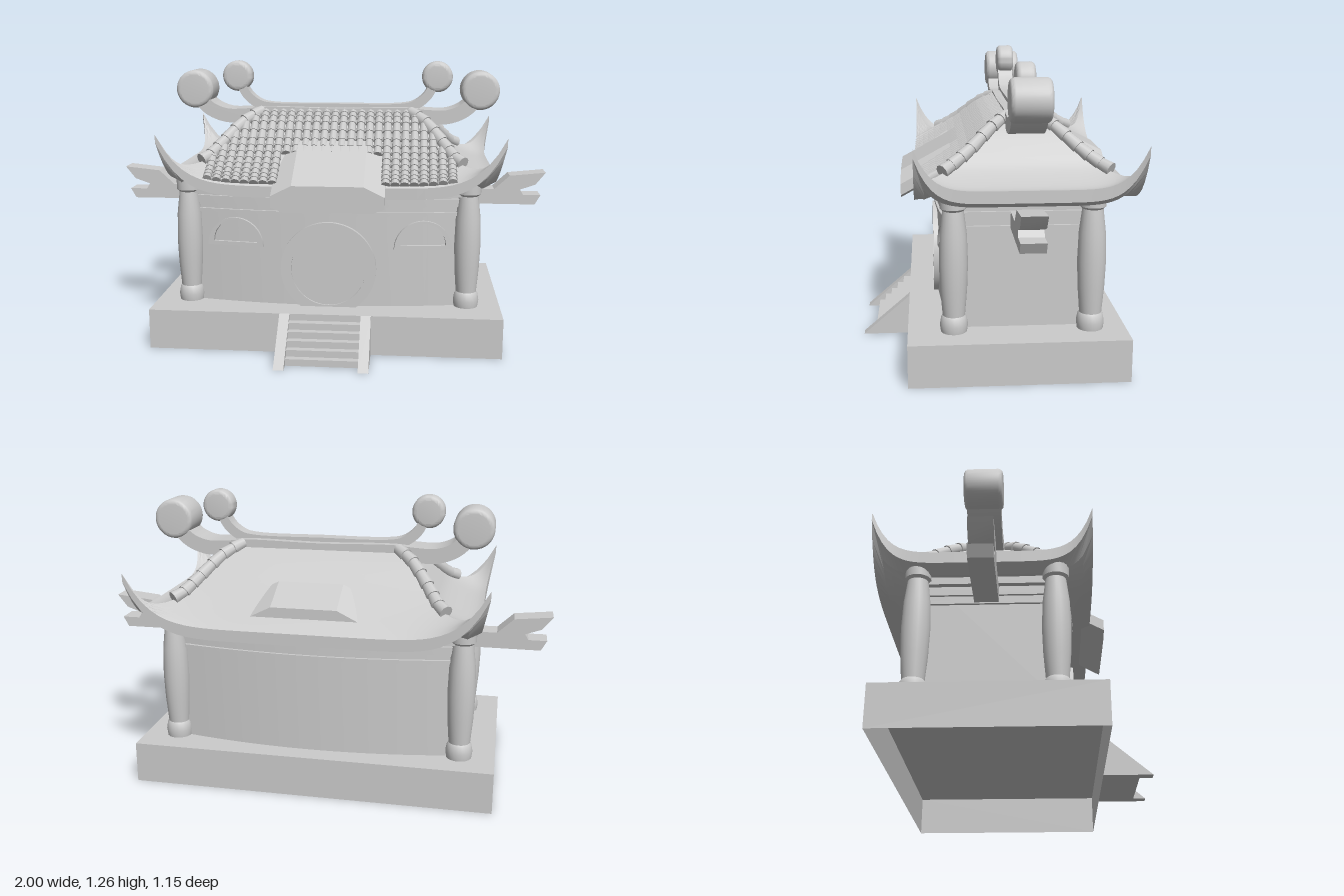
import * as THREE from 'three';
import { mergeGeometries, toCreasedNormals } from 'three/addons/utils/BufferGeometryUtils.js';

const mat = new THREE.MeshStandardMaterial({ color: 0xcccccc });
const matDouble = new THREE.MeshStandardMaterial({ color: 0xcccccc, side: THREE.DoubleSide });
const V = (x, y, z) => new THREE.Vector3(x, y, z);
const CX = 0.02, CZ = -0.123; // roof centre

function add(parent, name, geo, x = 0, y = 0, z = 0, material = mat) {
  const m = new THREE.Mesh(geo, material);
  m.name = name;
  m.position.set(x, y, z);
  parent.add(m);
  return m;
}
const poly = pts => new THREE.Shape(pts.map(p => new THREE.Vector2(p[0], p[1])));
const extrude = (shape, depth, opts = {}) => toCreasedNormals(
  new THREE.ExtrudeGeometry(shape, { depth, bevelEnabled: false, curveSegments: 24, ...opts }), 0.6);

// Roof rings from ridge to eave: x = half width, y = height, z = half depth
const roofProfile = new THREE.CatmullRomCurve3([
  V(0.34, 1.03, 0.05), V(0.42, 0.985, 0.13), V(0.50, 0.90, 0.23),
  V(0.56, 0.835, 0.32), V(0.66, 0.785, 0.40), V(0.757, 0.755, 0.453)]);
const SIDES = 4;

// Point on roof side k, at s (-1..1 along the side) and t (0 ridge .. 1 eave)
function roofPoint(k, s, t, drop = 0) {
  const p = roofProfile.getPoint(t);
  const corner = Math.abs(s) ** 7, edge = t ** 7;
  const isEnd = k % 2 === 1;
  let out = isEnd ? p.x : p.z, along = (isEnd ? p.z : p.x) * s;
  if (isEnd) out -= 0.035 * edge * (1 - corner);
  const y = p.y + edge * (0.21 * corner + (isEnd ? 0.035 : -0.01) * (1 - corner)) - drop;
  return V(along, y, out).applyAxisAngle(V(0, 1, 0), k * Math.PI / 2).add(V(CX, 0, CZ));
}

function roofSide(k) {
  const rows = [], nS = 40, nT = 20, pos = [], idx = [];
  for (let j = 0; j <= nT; j++) rows.push([j / nT, 0]);
  rows.push([1, 0.05], [0.84, 0.075], [0.6, 0.11]); // fascia and soffit
  for (const [t, drop] of rows)
    for (let i = 0; i <= nS; i++) {
      const s = i / nS * 2 - 1;
      pos.push(...roofPoint(k, s, t, drop * (1 - 0.3 * Math.abs(s) ** 7)).toArray());
    }
  for (let j = 0; j < rows.length - 1; j++)
    for (let i = 0; i < nS; i++) {
      const a = j * (nS + 1) + i, b = a + nS + 1;
      idx.push(a, b, a + 1, a + 1, b, b + 1);
    }
  const g = new THREE.BufferGeometry();
  g.setAttribute('position', new THREE.Float32BufferAttribute(pos, 3));
  g.setIndex(idx);
  return toCreasedNormals(g, 0.5);
}

// Overlapping tapered tiles that follow a line of points downhill
function tileChain(pts, r, sides) {
  const out = [];
  for (let i = 0; i < pts.length - 1; i++) {
    const up = pts[i].clone().sub(pts[i + 1]), len = up.length();
    const g = new THREE.CylinderGeometry(r * 0.82, r, len * 1.08, sides);
    g.applyQuaternion(new THREE.Quaternion().setFromUnitVectors(V(0, 1, 0), up.normalize()));
    const c = pts[i].clone().add(pts[i + 1]).multiplyScalar(0.5);
    out.push(g.translate(c.x, c.y, c.z));
  }
  return out;
}

// Ridge bar with a scroll at each end
function ridge(parent, name, half, thick, width, scroll) {
  const pts = [...half.slice(1).reverse().map(p => V(-p[0], p[1], 0)), ...half.map(p => V(p[0], p[1], 0))];
  const curve = new THREE.CatmullRomCurve3(pts, false, 'centripetal');
  const upper = [], lower = [];
  for (let i = 0; i <= 60; i++) {
    const p = curve.getPoint(i / 60), t = curve.getTangent(i / 60), h = thick / 2;
    upper.push([p.x - t.y * h, p.y + t.x * h]);
    lower.unshift([p.x + t.y * h, p.y - t.x * h]);
  }
  add(parent, name, extrude(poly([...upper, ...lower]), width), CX, 0, CZ - width / 2);
  const b = 0.02, circle = new THREE.Shape().absarc(0, 0, scroll.r - b, 0, Math.PI * 2);
  const disc = extrude(circle, scroll.w - 2 * b, { bevelEnabled: true, bevelSize: b, bevelThickness: b, bevelSegments: 4 });
  for (const s of [-1, 1])
    add(parent, name + 'Scroll', disc, CX + s * scroll.x, scroll.y, CZ - scroll.w / 2 + b);
}

// Slab with bowed front and back
function bowed(e, y0, y1) {
  const x = 0.6 + e, z = 0.28 + e, c = z + 0.12;
  const s = new THREE.Shape().moveTo(-x, -z);
  s.quadraticCurveTo(0, -c, x, -z).lineTo(x, z).quadraticCurveTo(0, c, -x, z);
  return extrude(s, y1 - y0).rotateX(-Math.PI / 2).translate(0, y0, -0.105);
}

// Low canopy with sloped shoulders, sheared down the roof slope
function canopy(w, depth, slope, drop) {
  const g = extrude(poly([[-w, -drop], [-w + 0.05, -0.115], [w - 0.05, -0.115], [w, -drop],
    [w, -0.045], [w - 0.09, 0], [0.09 - w, 0], [-w, -0.045]]), depth);
  const p = g.attributes.position;
  for (let i = 0; i < p.count; i++) p.setY(i, p.getY(i) - slope * p.getZ(i));
  return toCreasedNormals(g, 0.4);
}

export function createModel() {
  const model = new THREE.Group();
  model.name = 'pavilion';

  // Plinth, hollow below
  const plinth = new THREE.BoxGeometry(1.57, 0.18, 0.9);
  const idx = Array.from(plinth.index.array);
  idx.splice(18, 6);
  plinth.setIndex(idx);
  add(model, 'plinth', plinth, 0, 0.09, -0.085, matDouble);

  // Steps
  for (let i = 0; i < 5; i++) {
    const z1 = 0.40 + i * 0.03, h = 0.15 - i * 0.03;
    add(model, 'step', new THREE.BoxGeometry(0.32, 0.03, z1 - 0.365), 0.007, h - 0.015, (z1 + 0.365) / 2);
  }
  const stringer = extrude(poly([[-0.365, 0], [-0.365, 0.18], [-0.575, 0]]), 0.045).rotateY(Math.PI / 2);
  for (const x of [-0.195, 0.165]) add(model, 'stepSide', stringer, x, 0, 0);

  // Walls and bands
  add(model, 'walls', bowed(0, 0.18, 0.76));
  add(model, 'lowerBand', bowed(0.012, 0.6, 0.615));
  add(model, 'middleBand', bowed(0.012, 0.64, 0.675));
  add(model, 'upperBand', bowed(0.025, 0.685, 0.73));

  // Columns
  const column = new THREE.LatheGeometry([[0, 0.18], [0.054, 0.18], [0.058, 0.21], [0.052, 0.242], [0.046, 0.25],
    [0.055, 0.36], [0.059, 0.47], [0.055, 0.59], [0.043, 0.69], [0.054, 0.7], [0.055, 0.75], [0, 0.76]]
    .map(p => new THREE.Vector2(...p)), 20);
  const columnGeo = toCreasedNormals(column, 0.6);
  for (const x of [-0.632, 0.632]) for (const z of [0.176, -0.387]) add(model, 'column', columnGeo, x, 0, z);

  // Forked beams at both ends
  const beam = [[0.58, 0.605], [0.955, 0.605], [0.98, 0.65], [0.9, 0.65], [0.885, 0.675], [0.955, 0.7],
    [1, 0.757], [0.835, 0.74], [0.765, 0.675], [0.58, 0.675]];
  add(model, 'leftBeam', extrude(poly(beam), 0.1), 0, 0, -0.157);
  add(model, 'rightBeam', extrude(poly(beam.map(p => [-p[0], p[1]])), 0.1), 0, 0, -0.157);

  // Round door
  const a = Math.asin(0.175 / 0.215);
  const frame = new THREE.Shape().absarc(0, 0, 0.215, -a, Math.PI + a);
  frame.closePath();
  frame.holes.push(new THREE.Path().absarc(0, 0, 0.168, 0, Math.PI * 2, true));
  add(model, 'doorFrame', extrude(frame, 0.063), 0.012, 0.355, 0.19);
  const leaf = new THREE.Shape().absarc(0, 0, 0.17, -Math.PI / 2 + 0.012, Math.PI / 2 - 0.012);
  const leafGeo = extrude(leaf, 0.05);
  add(model, 'doorLeaf', leafGeo, 0.012, 0.355, 0.195);
  add(model, 'doorLeaf', leafGeo, 0.012, 0.355, 0.245).rotation.y = Math.PI;

  // Half-round windows, turned to the curve of the wall
  const win = new THREE.Shape().absarc(0, 0, 0.13, 0, Math.PI);
  win.closePath();
  const hole = new THREE.Path().absarc(0, 0.018, 0.102, 0, Math.PI);
  hole.closePath();
  win.holes.push(hole);
  const winGeo = extrude(win, 0.035);
  for (const s of [-1, 1]) add(model, 'windowFrame', winGeo, 0.01 + s * 0.42, 0.447, 0.184).rotation.y = s * 0.13;

  // Roof
  const roof = new THREE.Group();
  roof.name = 'roof';
  model.add(roof);
  for (let k = 0; k < SIDES; k++) add(roof, 'roofSlope', roofSide(k), 0, 0, 0, matDouble);
  add(roof, 'roofTop', new THREE.BoxGeometry(0.68, 0.02, 0.1), CX, 1.02, CZ);

  // Rows of round tiles on the front slope
  const tiles = [];
  for (let c = -13; c <= 13; c++) {
    const x = c * 0.041, line = [];
    for (let i = 0; i <= 13; i++) {
      const t = i / 13 * 0.97, s = x / roofProfile.getPoint(t).x;
      if (Math.abs(s) > 1) continue;
      const p = roofPoint(0, s, t);
      p.y += 0.006;
      if (Math.abs(x) < 0.21 && p.z > 0.18) break;
      line.push(p);
    }
    tiles.push(...tileChain(line, 0.021, 8));
  }
  add(roof, 'frontTiles', mergeGeometries(tiles));

  // Hip ribs
  const ribs = [];
  for (let k = 0; k < SIDES; k++) {
    const line = [];
    for (let i = 0; i <= 7; i++) line.push(roofPoint(k, 1, 0.02 + i * 0.089).add(V(0, 0.008, 0)));
    ribs.push(...tileChain(line, 0.03, 10));
  }
  add(roof, 'hipRibs', mergeGeometries(ribs));

  // Canopies over the door and at the back
  add(roof, 'frontCanopy', canopy(0.245, 0.285, 0.55, 0.095), CX, 0.917, 0.108);
  add(roof, 'backCanopy', canopy(0.23, 0.15, 0.5, 0.1), CX, 0.91, -0.36).rotation.y = Math.PI;

  // Ridges with scrolls
  ridge(roof, 'mainRidge', [[0, 1.015], [0.33, 1.02], [0.42, 1.012], [0.52, 1.012], [0.60, 1.045], [0.66, 1.11]],
    0.065, 0.145, { x: 0.667, y: 1.133, r: 0.088, w: 0.165 });
  ridge(roof, 'topRidge', [[0, 1.045], [0.31, 1.048], [0.37, 1.062], [0.425, 1.105], [0.46, 1.17]],
    0.042, 0.07, { x: 0.47, y: 1.193, r: 0.071, w: 0.08 });

  return model;
}
